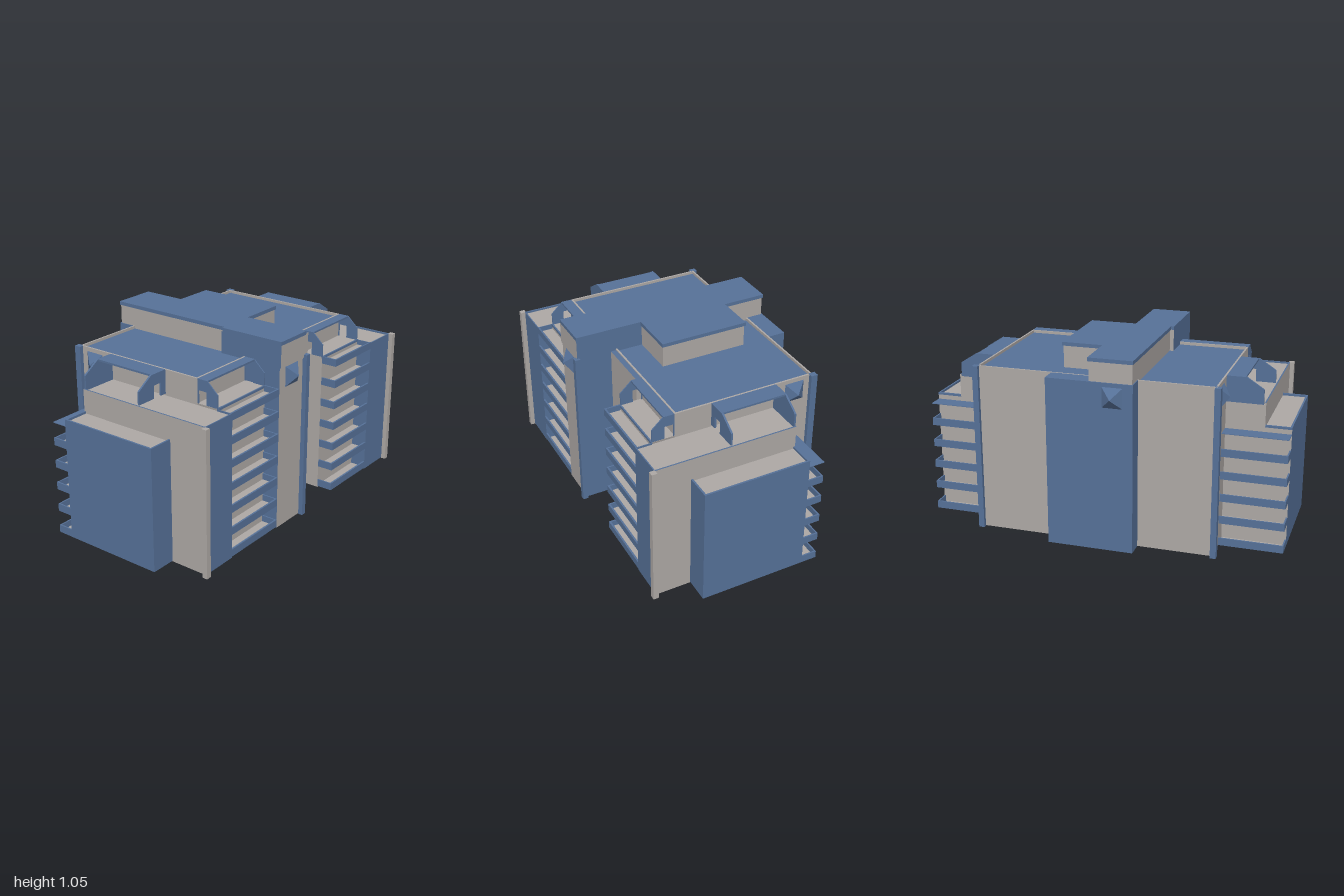
import * as THREE from 'three';

const material = (name, color) => {
  const m = new THREE.MeshStandardMaterial({ color, side: THREE.DoubleSide });
  m.name = name;
  return m;
};

export function createModel() {
  const blue = material('slate blue', 0x567198);
  const gray = material('warm gray', 0xada8a5);
  const none = null;
  const model = new THREE.Group();
  model.name = 'apartmentBlock';

  const add = (name, geometry, mat) => {
    const mesh = new THREE.Mesh(geometry, mat);
    mesh.name = name;
    model.add(mesh);
    return mesh;
  };
  // Box from its bounds
  const box = (name, xa, xb, y0, y1, z0, z1, mat) => {
    const g = new THREE.BoxGeometry(Math.abs(xb - xa), y1 - y0, z1 - z0);
    g.translate((xa + xb) / 2, (y0 + y1) / 2, (z0 + z1) / 2);
    return add(name, g, mat);
  };
  // Hollow shell: one material per face in the order +x -x +y -y +z -z, none leaves it open
  const shell = (name, xa, xb, y0, y1, z0, z1, faces) => {
    const mesh = box(name, xa, xb, y0, y1, z0, z1, [blue, gray]);
    const g = mesh.geometry;
    const all = Array.from(g.index.array);
    const index = [];
    g.clearGroups();
    faces.forEach((face, i) => {
      if (face === none) return;
      g.addGroup(index.length, 6, face === blue ? 0 : 1);
      index.push(...all.slice(i * 6, i * 6 + 6));
    });
    g.setIndex(index);
    return mesh;
  };
  // Four-sided point that sticks out from a wall
  const pyramid = (name, x, z, angle) => {
    const g = new THREE.ConeGeometry(0.055 * Math.SQRT2, 0.045, 4, 1, true).toNonIndexed();
    g.rotateY(Math.PI / 4).rotateX(Math.PI / 2).translate(0, 0, 0.0225);
    g.computeVertexNormals();
    const p = add(name, g, blue);
    p.position.set(x, 0.853, z);
    p.rotation.y = angle;
  };
  // Chamfered roof-terrace screen starting at a wall, with an optional doorway
  const screen = (s, width, flat, depth, door) => {
    const pts = [[0, 0], [0, 0.13], [flat, 0.13], [width, 0.07], [width, 0]];
    if (door) pts.push([door[1], 0], [door[1], 0.07], [door[0], 0.07], [door[0], 0]);
    const shape = new THREE.Shape(pts.map(([u, v]) => new THREE.Vector2(u * s, v)));
    return new THREE.ExtrudeGeometry(shape, { depth, bevelEnabled: false });
  };

  // Main block, its roof and the low parapets
  shell('mainBlock', -0.65, 0.65, 0.004, 0.915, -0.46, 0.335, [gray, gray, blue, none, gray, gray]);
  shell('entranceWall', -0.03, 0.28, 0.004, 0.925, 0.335, 0.365, [gray, none, blue, none, gray, none]);
  box('shaftPanel', -0.255, -0.035, 0.004, 0.9, 0.325, 0.331, blue);
  box('backParapet', -0.65, 0.65, 0.915, 0.93, -0.46, -0.45, gray);
  box('frontParapet', -0.64, 0.64, 0.915, 0.93, 0.325, 0.335, gray);

  // Front tower and back bay
  shell('frontTower', -0.257, -0.03, 0.004, 0.93, 0.335, 0.55, [blue, blue, none, none, gray, none]);
  shell('frontTowerTop', -0.257, -0.035, 0.915, 1.035, 0.18, 0.557, [blue, blue, none, none, gray, gray]);
  box('towerPost', -0.05, -0.02, 0, 0.93, 0.545, 0.575, blue);
  shell('backBay', -0.24, 0.23, 0.004, 0.93, -0.555, -0.46, [blue, blue, blue, none, none, blue]);
  pyramid('frontPyramid', -0.15, 0.55, 0);
  pyramid('backPyramid', -0.13, -0.555, Math.PI);

  // Raised roof storey
  box('roofStoreyMiddle', -0.235, 0.217, 0.9, 1.035, -0.305, 0.18, gray);
  box('roofStoreyBack', -0.235, -0.005, 0.9, 1.035, -0.548, -0.3, gray);
  box('roofSlabFront', -0.257, -0.035, 1.035, 1.055, 0.185, 0.557, blue);
  box('roofSlabMiddle', -0.24, 0.225, 1.035, 1.055, -0.31, 0.185, blue);
  box('roofSlabBack', -0.24, 0, 1.035, 1.055, -0.553, -0.31, blue);

  for (const s of [1, -1]) {
    const side = s > 0 ? 'left' : 'right';
    const inner = s > 0 ? 0.28 : 0.257;
    const part = (name, xa, xb, ...rest) => box(side + name, s * xa, s * xb, ...rest);
    // Shell whose first two faces are the outer and inner one
    const hollow = (name, xa, xb, y0, y1, z0, z1, [out, inn, ...rest]) =>
      shell(side + name, s * xa, s * xb, y0, y1, z0, z1, s > 0 ? [out, inn, ...rest] : [inn, out, ...rest]);

    // Side parapet, back corner post and wall point
    part('SideParapet', 0.64, 0.65, 0.915, 0.93, -0.45, 0.335, gray);
    part('BackPost', 0.64, 0.672, 0, 0.93, -0.48, -0.443, blue);
    pyramid(side + 'SidePyramid', s * 0.65, -0.355, s * Math.PI / 2);

    // Wing with blue-topped rim, inner cheek and corner post
    hollow('Wing', 0.65, 0.86, 0.004, 0.79, -0.24, 0.55, [gray, none, gray, none, blue, gray]);
    part('WingCheek', 0.65, 0.654, 0.004, 0.8, 0.46, 0.549, blue);
    hollow('WingOuterRim', 0.852, 0.86, 0.79, 0.8, -0.24, 0.55, [gray, blue, blue, none, blue, gray]);
    part('WingFrontRim', 0.65, 0.852, 0.79, 0.8, 0.544, 0.55, blue);
    part('WingPost', 0.853, 0.883, 0, 0.8, 0.545, 0.575, gray);

    // Outer side block with a thin rim
    const zf = s > 0 ? 0.353 : 0.335;
    hollow('SideBlock', 0.86, 1, 0.008, 0.668, -0.24, zf, [blue, none, gray, none, blue, gray]);
    part('SideBlockOuterRim', 0.99, 1, 0.668, 0.68, -0.24, zf, blue);
    part('SideBlockFrontRim', 0.86, 0.99, 0.668, 0.68, zf - 0.01, zf, blue);
    part('SideBlockBackRim', 0.86, 0.99, 0.668, 0.68, -0.24, -0.23, blue);

    // Wing roof canopy between an open front screen and a closed back screen
    part('WingCanopy', 0.65, 0.75, 0.92, 0.93, -0.232, 0.12, blue);
    add(side + 'WingFrontScreen', screen(s, 0.198, 0.105, 0.01, [0.035, 0.088]), blue)
      .position.set(s * 0.65, 0.79, 0.12);
    add(side + 'WingBackScreen', screen(s, 0.198, 0.105, 0.01), blue)
      .position.set(s * 0.65, 0.79, -0.242);
    for (const name of ['WingFrontScreen', 'WingBackScreen']) {
      model.getObjectByName(side + name).position.y = 0.8;
    }
    part('WingScreenSill', 0.65, 0.848, 0.79, 0.8, -0.242, -0.232, blue);

    // Front terrace with canopy and screens
    hollow('Terrace', inner, 0.65, 0.004, 0.8, 0.335, 0.46,
      [none, s > 0 ? gray : none, gray, none, gray, none]);
    part('TerraceCanopy', inner, 0.65, 0.92, 0.93, 0.336, 0.396, blue);
    for (const x of [inner + 0.004, 0.646]) {
      const plate = add(side + 'TerraceScreen', screen(1, 0.125, 0.06, 0.006, [0.006, 0.055]), blue);
      plate.rotation.y = -Math.PI / 2;
      plate.position.set(s * x + 0.003, 0.8, 0.335);
    }

    // Front balconies
    for (let i = 0; i < 7; i++) {
      const y = 0.01 + i * 0.1255;
      const top = Math.min(y + 0.042, 0.803);
      part('FrontBalconyFloor', inner + 0.008, 0.65, y, y + 0.008, 0.46, 0.54, gray);
      part('FrontBalconyRail', inner, 0.65, y, top, 0.54, 0.55, blue);
      part('FrontBalconyEnd', inner, inner + 0.008, y, top, 0.46, 0.54, blue);
    }
    part('TopBalconyBackEdge', inner, 0.65, 0.79, 0.803, 0.456, 0.464, blue);

    // Back balconies under a thin cover
    for (let i = 0; i < 5; i++) {
      const y = 0.008 + i * 0.1265;
      const top = y + 0.042;
      part('BackBalconyFloor', 0.65, 0.992, y, y + 0.008, -0.32, -0.24, gray);
      part('BackBalconyRail', 0.65, 1, y, top, -0.328, -0.32, blue);
      part('BackBalconyEnd', 0.992, 1, y, top, -0.32, -0.24, blue);
    }
    part('BackBalconyCover', 0.65, 1, 0.64, 0.643, -0.328, -0.24, blue);
  }
  return model;
}
